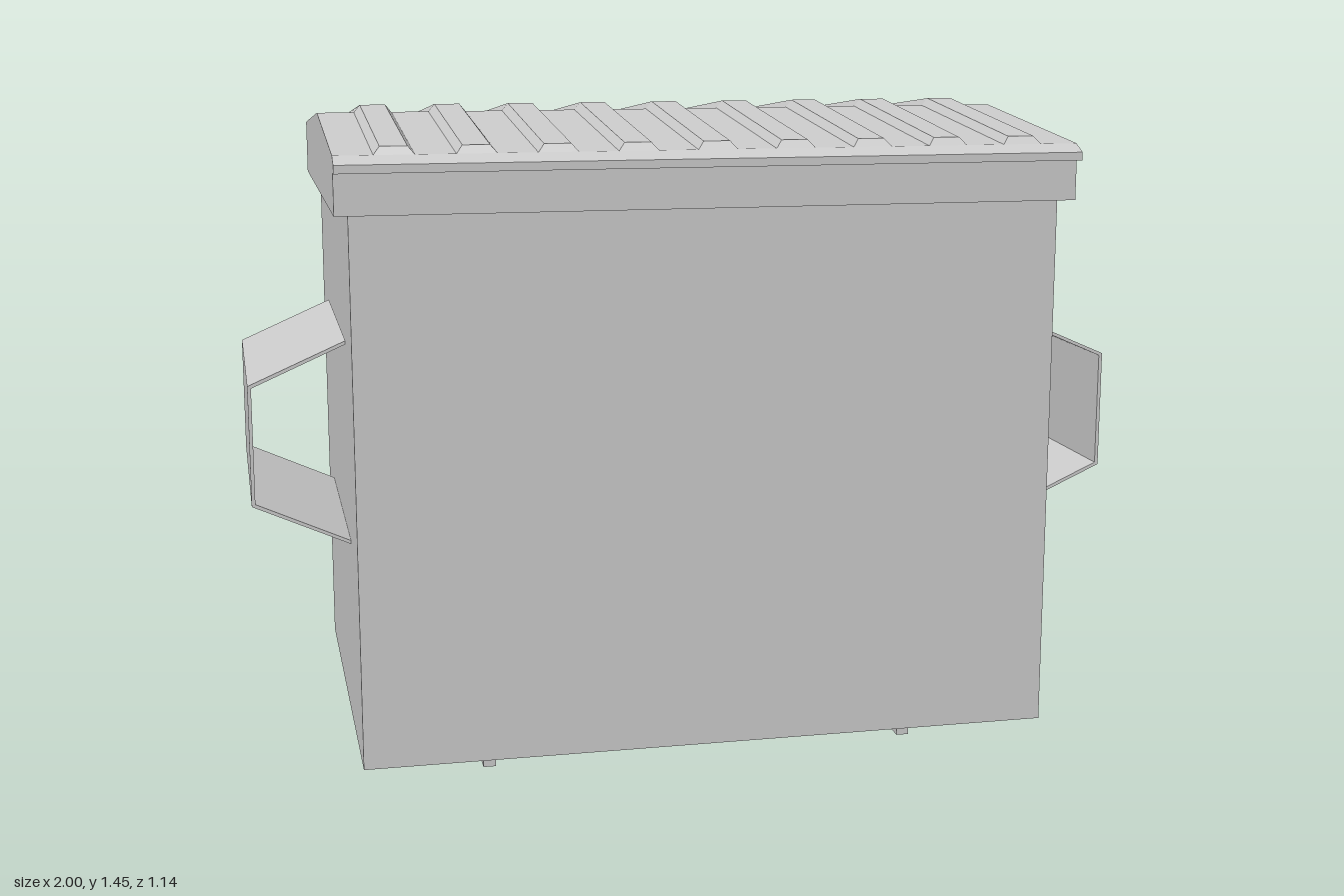
import * as THREE from 'three';

const material = new THREE.MeshStandardMaterial({ color: 0xcccccc, flatShading: true });
const openMaterial = new THREE.MeshStandardMaterial({ color: 0xcccccc, flatShading: true, side: THREE.DoubleSide });

function add(parent, name, geometry, mat = material) {
  const mesh = new THREE.Mesh(geometry, mat);
  mesh.name = name;
  parent.add(mesh);
  return mesh;
}

function box(x0, x1, y0, y1, z0, z1) {
  return new THREE.BoxGeometry(x1 - x0, y1 - y0, z1 - z0)
    .translate((x0 + x1) / 2, (y0 + y1) / 2, (z0 + z1) / 2);
}

function extrude(points, depth) {
  const shape = new THREE.Shape(points.map(([x, y]) => new THREE.Vector2(x, y)));
  return new THREE.ExtrudeGeometry(shape, { depth, bevelEnabled: false });
}

// Raised rib: cross-sections [z, base y, top y, half top width] following the roof
function ribGeometry() {
  const base = 0.043, top = 0.029;
  const stations = [
    [0.537, 1.375, 1.375, base],
    [0.524, 1.376, 1.392, top],
    [-0.015, 1.43, 1.447, top],
    [-0.556, 1.376, 1.392, top],
    [-0.569, 1.375, 1.375, base],
  ];
  const positions = [], index = [];
  stations.forEach(([z, y0, y1, w], i) => {
    positions.push(-base, y0, z, -w, y1, z, w, y1, z, base, y0, z);
    if (i === 0) return;
    for (let k = 0; k < 3; k++) {
      const a = (i - 1) * 4 + k, b = a + 1, c = a + 4, d = a + 5;
      index.push(a, b, c, b, d, c);
    }
  });
  const geometry = new THREE.BufferGeometry();
  geometry.setAttribute('position', new THREE.Float32BufferAttribute(positions, 3));
  geometry.setIndex(index);
  geometry.computeVertexNormals();
  return geometry;
}

export function createModel() {
  const model = new THREE.Group();
  model.name = 'dumpster';

  // Bin walls: a box without its top and bottom
  const walls = box(-0.785, 0.782, 0.035, 1.26, -0.538, 0.51);
  const faces = Array.from(walls.index.array);
  walls.setIndex([...faces.slice(0, 12), ...faces.slice(24, 36)]);
  walls.clearGroups();
  add(model, 'binWalls', walls, openMaterial);

  // Runners under the bin
  for (const x of [-0.516, 0.453]) {
    add(model, 'runner', box(x, x + 0.028, 0, 0.036, -0.485, 0.457));
  }

  // Gabled lid with a front lip; profile is (-z, y), swept along x
  const lid = extrude([
    [-0.54, 1.25], [0.568, 1.25], [0.568, 1.375], [0.015, 1.43],
    [-0.535, 1.375], [-0.57, 1.358], [-0.57, 1.34], [-0.54, 1.34],
  ], 1.627);
  lid.rotateY(Math.PI / 2).translate(-0.815, 0, 0);
  add(model, 'lid', lid);

  // Lid ribs
  const rib = ribGeometry();
  for (let i = 0; i < 9; i++) {
    add(model, 'lidRib', rib).position.x = -0.688 + i * 0.1716;
  }

  // Side lifting brackets: thin bent plates open at both ends
  const bracket = [
    [0.78, 0.953], [1, 0.857], [1, 0.586], [0.78, 0.487],
    [0.78, 0.495], [0.992, 0.591], [0.992, 0.852], [0.78, 0.945],
  ];
  for (const side of [1, -1]) {
    const points = bracket.map(([x, y]) => [x * side, y]);
    const geometry = extrude(points, 0.627).translate(0, 0, -0.33);
    add(model, side > 0 ? 'leftBracket' : 'rightBracket', geometry);
  }

  return model;
}
